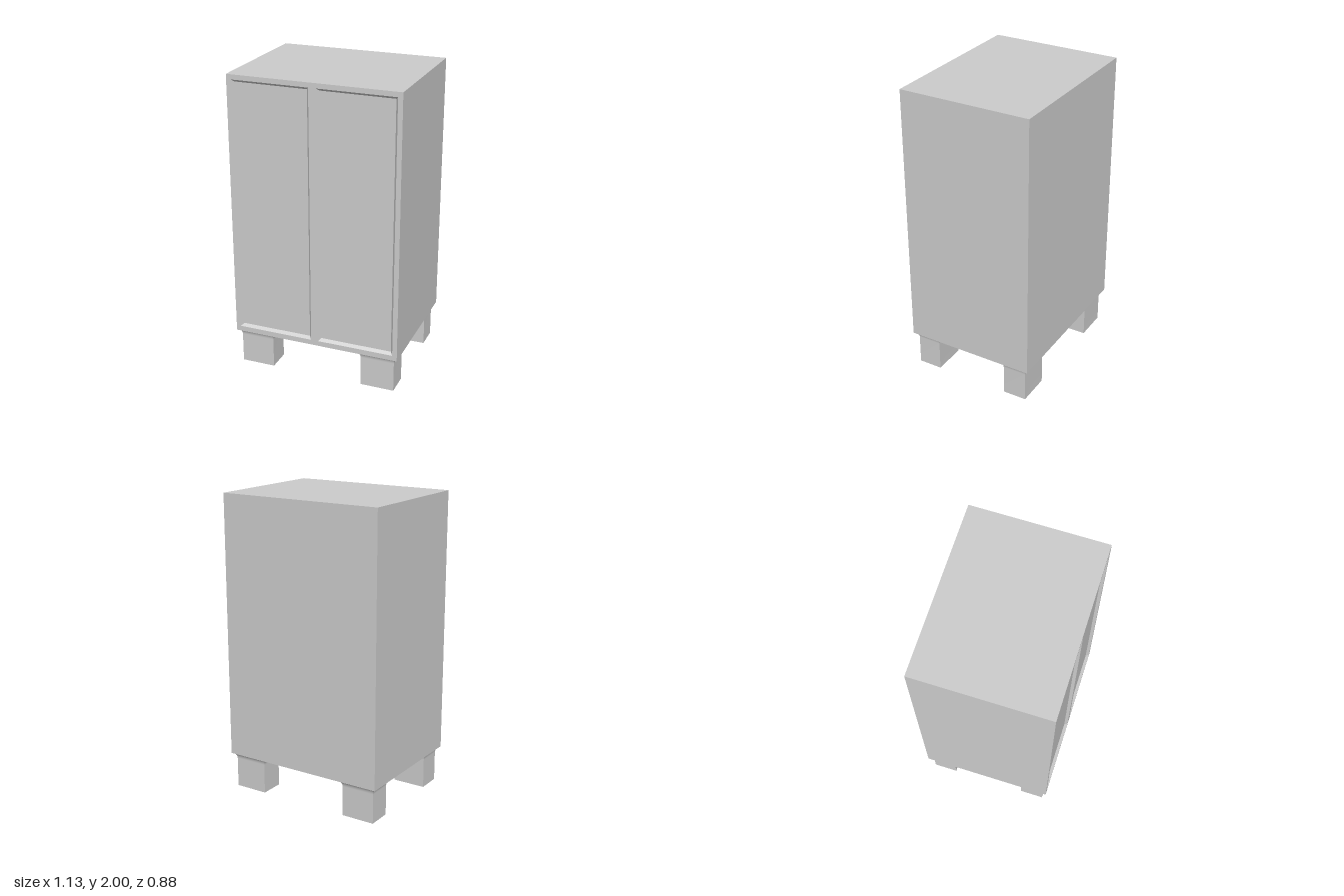
import * as THREE from 'three';

const W = 0.565, D = 0.44, TOP = 2, BASE = 0.24; // carcass half width, half depth, top, underside

const material = new THREE.MeshStandardMaterial({ color: 0xcccccc });

// Skin of stacked rectangles [halfX, halfY, z]; corners stay sharp and the last rectangle is capped.
function rectLoft(rings) {
  const pos = [], index = [];
  const corners = [[-1, -1], [1, -1], [1, 1], [-1, 1]];
  const put = ([hx, hy, z], [sx, sy]) => pos.push(hx * sx, hy * sy, z);
  for (let side = 0; side < 4; side++) {
    const start = pos.length / 3;
    rings.forEach((ring, i) => {
      put(ring, corners[side]);
      put(ring, corners[(side + 1) % 4]);
      if (i === 0) return;
      const b = start + i * 2, a = b - 2;
      index.push(a, a + 1, b + 1, a, b + 1, b);
    });
  }
  const c = pos.length / 3;
  corners.forEach((corner) => put(rings[rings.length - 1], corner));
  index.push(c, c + 1, c + 2, c, c + 2, c + 3);
  const geometry = new THREE.BufferGeometry();
  geometry.setAttribute('position', new THREE.Float32BufferAttribute(pos, 3));
  geometry.setIndex(index);
  geometry.computeVertexNormals();
  return geometry;
}

function rectPath(path, x0, x1, y0, y1) {
  path.moveTo(x0, y0).lineTo(x1, y0).lineTo(x1, y1).lineTo(x0, y1).closePath();
  return path;
}

export function createModel() {
  const cabinet = new THREE.Group();
  cabinet.name = 'cabinet';
  const add = (name, geometry, x = 0, y = 0, z = 0) => {
    const mesh = new THREE.Mesh(geometry, material);
    mesh.name = name;
    mesh.position.set(x, y, z);
    cabinet.add(mesh);
  };

  // Carcass: a box without its front face
  const box = new THREE.BoxGeometry(2 * W, TOP - BASE, 2 * D);
  const faces = Array.from(box.index.array);
  faces.splice(24, 6);
  box.setIndex(faces);
  box.clearGroups();
  add('carcass', box, 0, (TOP + BASE) / 2, 0);

  // Front frame with two door openings
  const door = { x: 0.279, y: 1.1215, hx: 0.255, hy: 0.8465 };
  const front = rectPath(new THREE.Shape(), -W, W, BASE, TOP);
  for (const s of [-1, 1]) {
    front.holes.push(rectPath(new THREE.Path(),
      s * door.x - door.hx, s * door.x + door.hx, door.y - door.hy, door.y + door.hy));
  }
  add('frontFrame', new THREE.ShapeGeometry(front), 0, 0, D);

  // Recessed door panels with a bevelled edge
  const bevel = 0.016, recess = 0.02;
  const panel = rectLoft([
    [door.hx, door.hy, 0],
    [door.hx - bevel, door.hy - bevel, -recess],
  ]);
  add('leftDoorPanel', panel, door.x, door.y, D);
  add('rightDoorPanel', panel, -door.x, door.y, D);

  // Square legs that flare in a cove into the underside
  const hx = 0.113, hz = 0.08, flare = 0.028, coveHeight = 0.04, steps = 8;
  const rings = [];
  for (let i = 0; i <= steps; i++) {
    const a = (i / steps) * Math.PI / 2;
    const extra = flare * (1 - Math.sin(a));
    rings.push([hx + extra, hz + extra, coveHeight * (1 - Math.cos(a))]);
  }
  rings.push([hx, hz, BASE]);
  const leg = rectLoft(rings).rotateX(Math.PI / 2);
  for (const sx of [-1, 1]) {
    for (const sz of [-1, 1]) {
      const name = (sz > 0 ? 'front' : 'back') + (sx > 0 ? 'Left' : 'Right') + 'Leg';
      add(name, leg, sx * 0.424, BASE, sz * 0.331);
    }
  }
  return cabinet;
}
